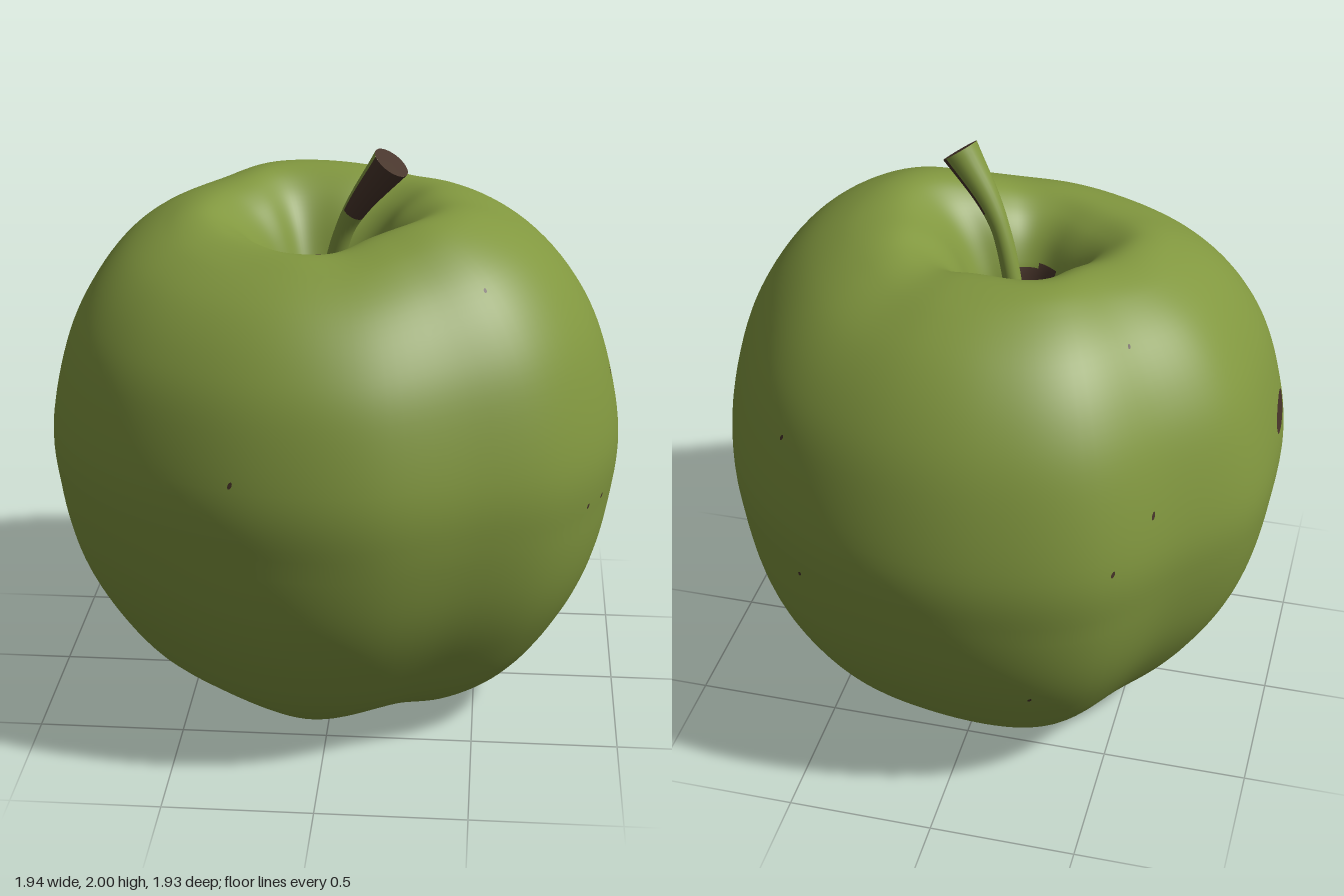
import * as THREE from 'three';

const green = new THREE.MeshStandardMaterial({ color: 0x81973f });
green.name = 'apple green';
const brown = new THREE.MeshStandardMaterial({ color: 0x47342a });
brown.name = 'bark brown';

const rad = THREE.MathUtils.degToRad;

// Body profile from the stem cavity, over the shoulder, down to the calyx: [radius, y]
const profile = new THREE.SplineCurve([
  [0, 1.28], [0.07, 1.29], [0.13, 1.38], [0.17, 1.52], [0.23, 1.65], [0.31, 1.74], [0.42, 1.79],
  [0.56, 1.765], [0.72, 1.67], [0.85, 1.52], [0.94, 1.33], [1, 1.05], [0.985, 0.83], [0.93, 0.6],
  [0.835, 0.4], [0.69, 0.2], [0.52, 0.075], [0.4, 0.03], [0.3, 0.02], [0.2, 0.07], [0.12, 0.14], [0, 0.17],
].map(([r, y]) => new THREE.Vector2(r, y)));
const LAST = 21;

// Girth and shoulder height around the apple, every 20 degrees from +x towards +z
const girth = [0.965, 0.995, 0.99, 0.938, 0.958, 0.96, 0.965, 0.985, 0.992,
  0.97, 0.98, 0.94, 0.985, 0.975, 0.965, 0.957, 0.95, 0.937];
const shoulder = [0, 0.01, 0, -0.04, -0.08, -0.085, -0.085, -0.075, -0.05,
  -0.03, -0.02, -0.005, 0.01, 0.01, 0, -0.02, -0.01, 0];

// Smooth periodic lookup
function around(table, a) {
  const n = table.length;
  const s = ((a / (2 * Math.PI)) * n % n + n) % n;
  const i = Math.floor(s), f = s - i;
  const [p, q, r, t] = [-1, 0, 1, 2].map((k) => table[(i + k + n) % n]);
  return q + 0.5 * f * (r - p + f * (2 * p - 5 * q + 4 * r - t + f * (3 * (q - r) + t - p)));
}

// Sine hump that is zero outside lo..hi
const hump = (t, lo, hi) => (t <= lo || t >= hi ? 0 : Math.sin(Math.PI * (t - lo) / (hi - lo)));

// Point on the skin: t runs 0..LAST down the profile, a is the angle
function skinPoint(t, a) {
  const p = profile.getPoint(t / LAST);
  const lobe = Math.cos(5 * (a - rad(27)));
  const shift = t < 11 ? 1 - p.x : 0;
  const r = p.x * around(girth, a) * (1 + 0.025 * lobe * hump(t, 12, 21) + 0.05 * lobe * hump(t, 2, 7));
  const y = p.y + around(shoulder, a) * hump(t, 3, 11) - 0.02 * lobe * hump(t, 15, 20.5);
  return new THREE.Vector3(r * Math.cos(a) - 0.05 * shift, y, r * Math.sin(a) + 0.06 * shift);
}

// Closed tube-like surface of rows x cols quads, split into green and brown faces
function surface(name, rows, cols, point, isBrown) {
  const pos = [], faces = [[], []];
  for (let i = 0; i <= rows; i++) {
    for (let j = 0; j < cols; j++) pos.push(...point(i / rows, (j / cols) * 2 * Math.PI).toArray());
  }
  for (let i = 0; i < rows; i++) {
    for (let j = 0; j < cols; j++) {
      const k = (j + 1) % cols;
      const a = i * cols + j, b = a + cols, c = i * cols + k, d = c + cols;
      const list = faces[isBrown((i + 0.5) / rows, ((j + 0.5) / cols) * 2 * Math.PI) ? 1 : 0];
      list.push(a, c, b, c, d, b);
    }
  }
  const geo = new THREE.BufferGeometry();
  geo.setAttribute('position', new THREE.Float32BufferAttribute(pos, 3));
  geo.setIndex([...faces[0], ...faces[1]]);
  geo.addGroup(0, faces[0].length, 0);
  geo.addGroup(faces[0].length, faces[1].length, 1);
  geo.computeVertexNormals();
  const mesh = new THREE.Mesh(geo, [green, brown]);
  mesh.name = name;
  return mesh;
}

// Thin blemish lying on the skin
function blemish(name, t, deg, wide, high) {
  const geo = new THREE.CircleGeometry(1, 14);
  const p = geo.attributes.position;
  for (let i = 0; i < p.count; i++) {
    const u = p.getX(i), v = p.getY(i);
    const q = skinPoint(t - v * high - u * high * 0.5, rad(deg) - u * wide);
    q.sub(new THREE.Vector3(0, 1, 0)).multiplyScalar(1.004).add(new THREE.Vector3(0, 1, 0));
    p.setXYZ(i, q.x, q.y, q.z);
  }
  geo.computeVertexNormals();
  const mesh = new THREE.Mesh(geo, brown);
  mesh.name = name;
  return mesh;
}

export function createModel() {
  const apple = new THREE.Group();
  apple.name = 'apple';

  // Fruit, with russet brown in the stem cavity and the calyx
  apple.add(surface('fruit', LAST * 6, 120, (s, a) => skinPoint(s * LAST, a), (s, a) => {
    const t = s * LAST;
    return t < 3.1 - 1.6 * Math.max(0, Math.cos(a + 0.2)) + 0.12 * Math.sin(7 * a) || t > 20.1;
  }));

  // Stem, flaring towards the cut end, brown on its outer side near the tip
  const path = new THREE.CatmullRomCurve3([
    [0.19, 1.955, 0.185], [0.08, 1.8, 0.145], [0.03, 1.7, 0.12], [-0.02, 1.5, 0.09], [-0.05, 1.26, 0.065],
  ].map((p) => new THREE.Vector3(...p)));
  const stemRadius = (s) => 0.032 + 0.033 * Math.pow(Math.max(0, 1 - s / 0.4), 1.3);
  apple.add(surface('stem', 30, 24, (s, a) => {
    const up = path.getPointAt(s).clone();
    const dir = path.getTangentAt(s).negate();
    const e1 = dir.clone().cross(new THREE.Vector3(0, 0, 1)).normalize();
    const e2 = e1.clone().cross(dir);
    const r = stemRadius(s);
    return up.addScaledVector(e1, r * Math.cos(a)).addScaledVector(e2, r * Math.sin(a));
  }, (s, a) => s < 0.3 && Math.cos(a - rad(50)) > -0.25));

  // Cut end of the stem
  const cap = new THREE.Mesh(new THREE.CircleGeometry(stemRadius(0), 24), brown);
  cap.name = 'stemEnd';
  cap.position.copy(path.getPointAt(0));
  cap.quaternion.setFromUnitVectors(new THREE.Vector3(0, 0, 1), path.getTangentAt(0).negate());
  apple.add(cap);

  // Dried sepals in the calyx
  for (let i = 0; i < 5; i++) {
    const a = rad(63 + i * 72);
    const sepal = new THREE.Mesh(new THREE.ConeGeometry(0.03, 0.12, 6), i % 2 ? green : brown);
    sepal.name = 'sepal';
    sepal.scale.z = 0.4;
    sepal.position.set(0.07 * Math.cos(a), 0.12, 0.07 * Math.sin(a));
    sepal.rotation.set(0, Math.PI / 2 - a, 0);
    sepal.rotateX(Math.PI + 0.5);
    apple.add(sepal);
  }

  // Scab and small specks: [profile step, degrees]
  apple.add(blemish('scab', 10.6, 175, 0.09, 0.17));
  [[10.75, 106], [11.7, 24], [10.3, 11], [11.7, 30], [10, -52], [14.2, -13], [8.2, 45],
    [10.5, 225], [11, 235], [13.5, 250], [8, 222], [11.8, 300], [13, 320]].forEach(([t, deg]) => {
    apple.add(blemish('speck', t, deg, 0.008, 0.04));
  });

  return apple;
}
